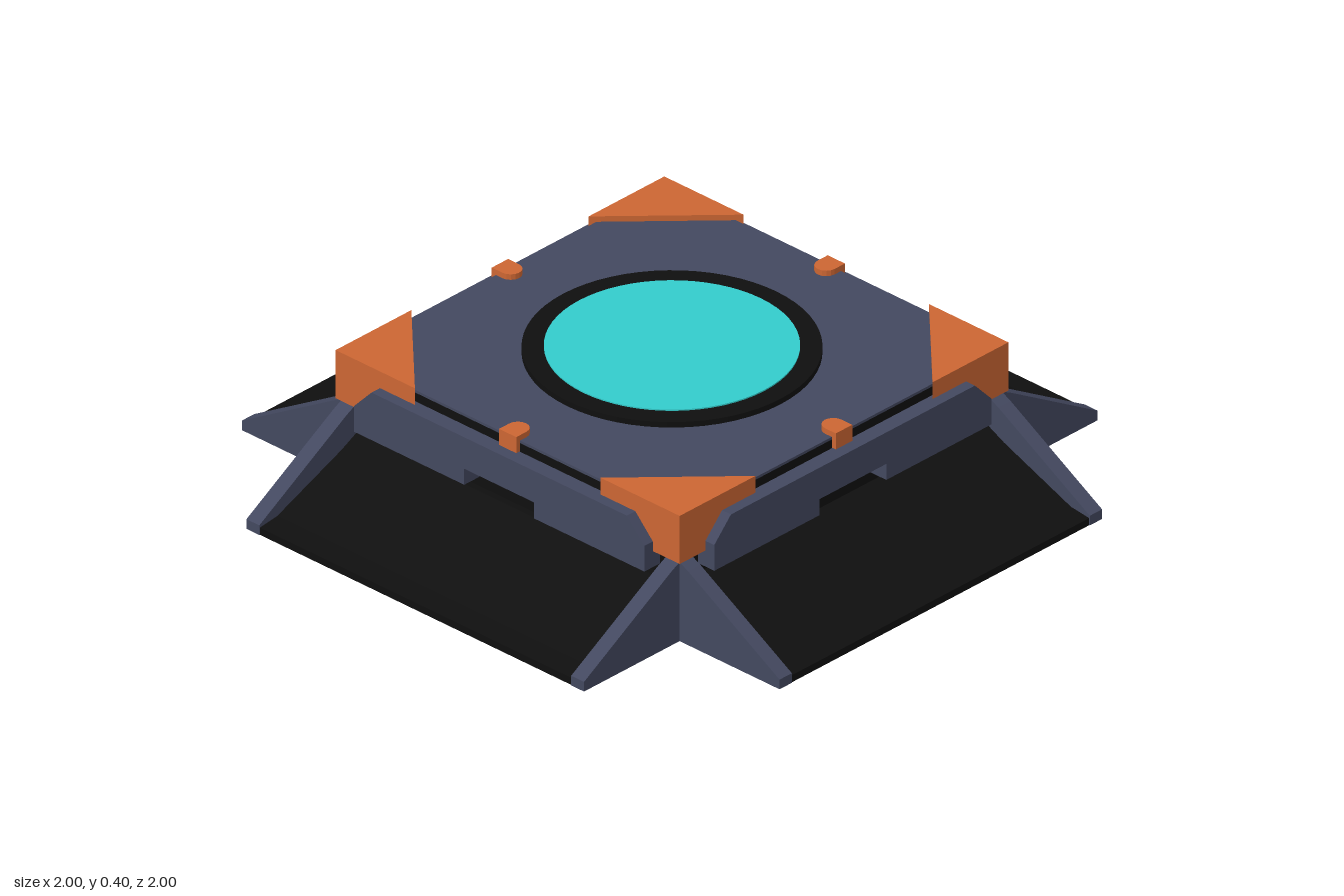
import * as THREE from 'three';

const paint = (name, color) => {
  const m = new THREE.MeshStandardMaterial({ color });
  m.name = name;
  return m;
};

export function createModel() {
  const slate = paint('slate', 0x43485f);
  const black = paint('black', 0x0f0f0f);
  const orange = paint('orange', 0xcc6633);
  const teal = paint('teal', 0x33cccc);

  const model = new THREE.Group();
  model.name = 'landingPad';

  const add = (parent, name, geometry, material, x = 0, y = 0, z = 0) => {
    const mesh = new THREE.Mesh(geometry, material);
    mesh.name = name;
    mesh.position.set(x, y, z);
    parent.add(mesh);
    return mesh;
  };
  const extrude = (points, depth) => new THREE.ExtrudeGeometry(
    new THREE.Shape(points.map(([x, y]) => new THREE.Vector2(x, y))),
    { depth, bevelEnabled: false });
  // Profile given as (z, y), swept along x and centred on x = 0
  const sweepX = (points, width) => extrude(points.map(([z, y]) => [-z, y]), width)
    .translate(0, 0, -width / 2).rotateY(Math.PI / 2);
  // Outline given as (x, z), raised along y
  const sweepY = (points, height) => extrude(points.map(([x, z]) => [x, -z]), height)
    .rotateX(-Math.PI / 2);

  // Central body and deck
  add(model, 'core', new THREE.BoxGeometry(1.2, 0.37, 1.2), black, 0, 0.185, 0);
  add(model, 'deckEdge', new THREE.BoxGeometry(1.25, 0.13, 1.25), black, 0, 0.31, 0);
  add(model, 'deck', new THREE.BoxGeometry(1.25, 0.008, 1.25), slate, 0, 0.379, 0);

  // Round pad with a dark rim
  add(model, 'padRim', new THREE.CylinderGeometry(0.405, 0.405, 0.03, 64), black, 0, 0.385, 0);
  add(model, 'padDisc', new THREE.CylinderGeometry(0.345, 0.345, 0.008, 64), teal, 0, 0.4, 0);

  // Shared shapes for the four sides
  const fin = sweepX([[0.58, 0], [1, 0], [1, 0.03], [0.66, 0.23], [0.62, 0.25], [0.58, 0.25]], 0.048);
  const ramp = sweepX([[0.58, 0], [0.998, 0], [0.998, 0.022], [0.93, 0.03], [0.68, 0.13], [0.62, 0.16], [0.58, 0.16]], 1.16);
  const panel = extrude([
    [-0.54, 0.2], [-0.13, 0.2], [-0.13, 0.25], [0.13, 0.25], [0.13, 0.2], [0.54, 0.2],
    [0.54, 0.28], [0.475, 0.348], [-0.475, 0.348], [-0.54, 0.28]], 0.06);
  const corner = sweepY([[0.64, 0.64], [0.64, 0.345], [0.345, 0.64]], 0.15);
  const knobOutline = [[-0.032, 0.64], [0.032, 0.64]];
  for (let i = 0; i <= 8; i++) {
    const a = Math.PI * i / 8;
    knobOutline.push([0.032 * Math.cos(a), 0.6 - 0.032 * Math.sin(a)]);
  }
  const knob = sweepY(knobOutline, 0.05);

  // Ramp, fins, panel, corner cap and marker repeat around the body
  for (let i = 0; i < 4; i++) {
    const side = new THREE.Group();
    side.name = 'side' + (i + 1);
    side.rotation.y = i * Math.PI / 2;
    model.add(side);
    add(side, 'ramp', ramp, black);
    for (const s of [-1, 1]) add(side, s > 0 ? 'leftFin' : 'rightFin', fin, slate, s * 0.604);
    add(side, 'sidePanel', panel, slate, 0, 0, 0.613);
    add(side, 'cornerCap', corner, orange, 0, 0.25, 0);
    add(side, 'edgeMarker', knob, orange, 0, 0.35, 0);
  }
  return model;
}
